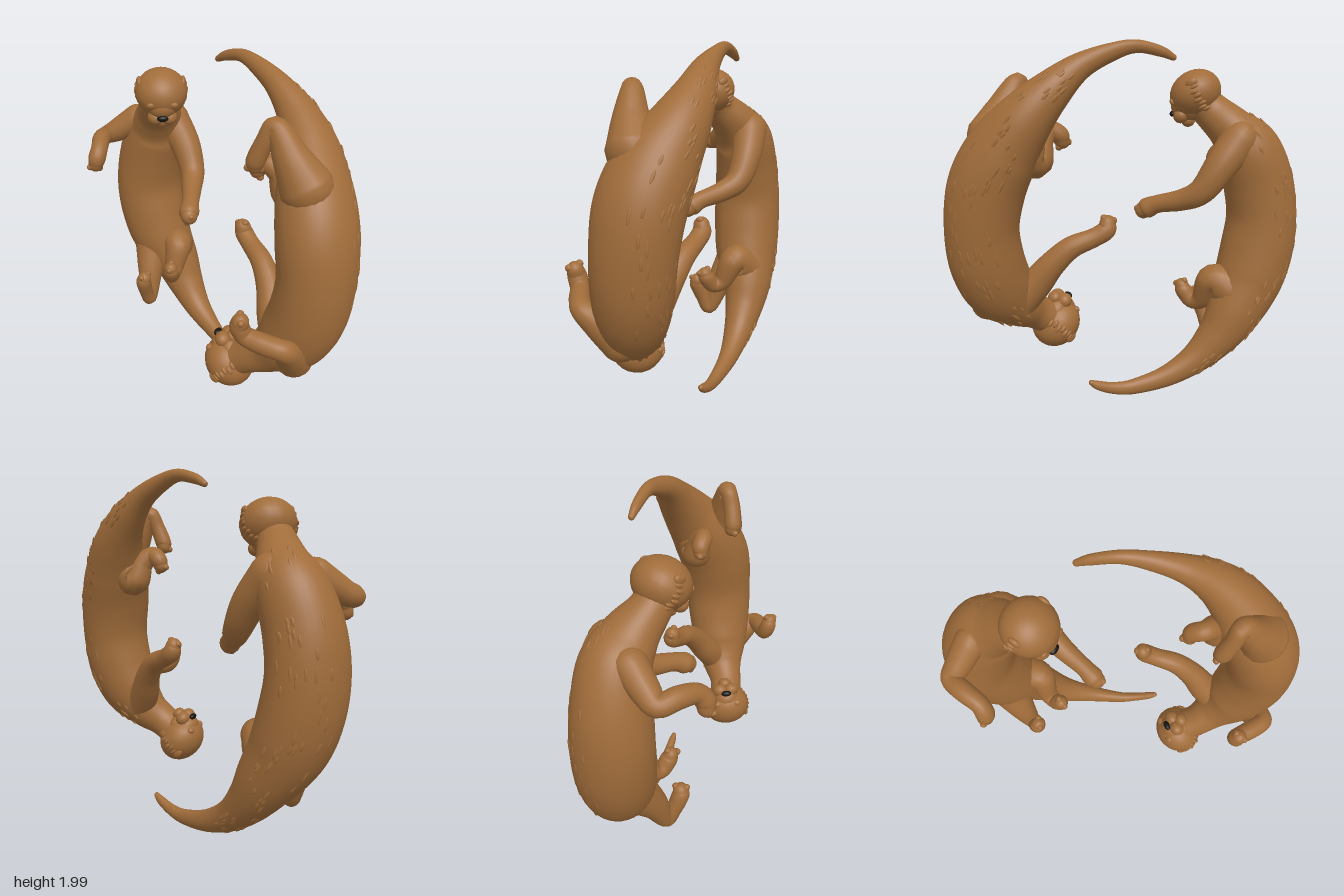
import * as THREE from 'three';

const V = (x, y, z) => new THREE.Vector3(x, y, z);
const fur = new THREE.MeshStandardMaterial({ color: 0xa06c3a });
fur.name = 'brownFur';
const dark = new THREE.MeshStandardMaterial({ color: 0x17130f });
dark.name = 'darkNose';

// Point on the rim of a cross-section
function around(f, a) {
  return f.c.clone().addScaledVector(f.s, Math.cos(a) * f.a).addScaledVector(f.d, Math.sin(a) * f.b);
}

// Swept tube through stations [x, y, z, radius, depthRadius] with rounded ends
function sweep(stations, rings, sides) {
  const path = new THREE.CatmullRomCurve3(stations.map(s => V(s[0], s[1], s[2])), false, 'catmullrom', 0.5);
  const size = new THREE.CatmullRomCurve3(stations.map(s => V(s[3], s[4] ?? s[3], 0)), false, 'catmullrom', 0.5);
  const frames = [];
  let d = V(0, 0, 1);
  for (let i = 0; i <= rings; i++) {
    const t = path.getTangent(i / rings), r = size.getPoint(i / rings);
    const s = d.clone().cross(t).normalize();
    d = t.clone().cross(s);
    frames.push({ c: path.getPoint(i / rings), t, s, d, a: r.x, b: r.y });
  }
  const caps = 5, loops = [];
  const cap = (f, dir) => k => {
    const q = (k / caps) * Math.PI / 2, w = Math.max(Math.cos(q), 0.001);
    return { ...f, c: f.c.clone().addScaledVector(f.t, dir * Math.sin(q) * Math.min(f.a, f.b)), a: f.a * w, b: f.b * w };
  };
  const start = cap(frames[0], -1), end = cap(frames[rings], 1);
  for (let k = caps; k > 0; k--) loops.push(start(k));
  loops.push(...frames);
  for (let k = 1; k <= caps; k++) loops.push(end(k));

  const pos = [], idx = [];
  loops.forEach((f, i) => {
    for (let j = 0; j < sides; j++) {
      const p = around(f, (j / sides) * Math.PI * 2);
      pos.push(p.x, p.y, p.z);
      if (i === loops.length - 1) continue;
      const k = i * sides + j, n = i * sides + (j + 1) % sides;
      idx.push(k, n, k + sides, n, n + sides, k + sides);
    }
  });
  const g = new THREE.BufferGeometry();
  g.setAttribute('position', new THREE.Float32BufferAttribute(pos, 3));
  g.setIndex(idx);
  g.computeVertexNormals();
  return { g, frames };
}

// Ellipsoids: a fine ball for the face, a light one for toes and tufts
const ball = new THREE.SphereGeometry(1, 24, 16);
const smallBall = new THREE.SphereGeometry(1, 10, 7);
function blob(parent, name, p, s, geometry = ball, mat = fur) {
  const m = new THREE.Mesh(geometry, mat);
  m.name = name;
  m.position.set(...p);
  m.scale.set(...s);
  parent.add(m);
  return m;
}

// Limb with four soft toes at its end
function limb(parent, name, stations) {
  const group = new THREE.Group();
  group.name = name;
  const { g, frames } = sweep(stations, 36, 18);
  const leg = new THREE.Mesh(g, fur);
  leg.name = name + 'Skin';
  group.add(leg);
  const f = frames[36];
  for (let i = 0; i < 4; i++) {
    const p = f.c.clone().addScaledVector(f.s, (i - 1.5) * 0.02).addScaledVector(f.t, f.a * 0.5);
    blob(group, 'toe', p.toArray(), [0.019, 0.019, 0.021], smallBall);
  }
  parent.add(group);
}

// Head built facing +z, then turned by its face and crown directions
function makeHead(center, face, crown) {
  const h = new THREE.Group();
  h.name = 'head';
  blob(h, 'skull', [0, 0.005, -0.005], [0.15, 0.128, 0.15]);
  blob(h, 'bridge', [0, -0.02, 0.075], [0.085, 0.075, 0.085]);
  blob(h, 'jaw', [0, -0.07, 0.05], [0.085, 0.06, 0.08]);
  blob(h, 'chin', [0, -0.112, 0.105], [0.042, 0.036, 0.04]);
  blob(h, 'nose', [0, -0.035, 0.165], [0.032, 0.018, 0.018], ball, dark);
  for (const side of [-1, 1]) {
    blob(h, 'muzzle', [side * 0.036, -0.068, 0.122], [0.048, 0.042, 0.046]);
    blob(h, 'eyelid', [side * 0.064, 0.022, 0.122], [0.026, 0.022, 0.016]);
    blob(h, 'ear', [side * 0.124, 0.062, -0.03], [0.017, 0.026, 0.036]);
    // cheek ruff
    for (let i = 0; i < 8; i++) {
      const a = -1.1 + i * 0.2;
      blob(h, 'cheekTuft', [side * 0.143 * Math.cos(a), 0.127 * Math.sin(a), -0.02 - 0.012 * (i % 2)], [0.013, 0.012, 0.026], smallBall);
    }
  }
  const z = V(...face).normalize();
  const x = V(...crown).cross(z).normalize();
  h.quaternion.setFromRotationMatrix(new THREE.Matrix4().makeBasis(x, z.clone().cross(x), z));
  h.position.set(...center);
  return h;
}

function otter(name, o) {
  const group = new THREE.Group();
  group.name = name;
  const { g, frames } = sweep(o.body, 110, 36);
  const body = new THREE.Mesh(g, fur);
  body.name = 'bodyAndTail';
  group.add(body);

  // low locks of fur lying along the back
  let seed = 7;
  const rnd = () => (seed = (seed * 16807) % 2147483647) / 2147483647;
  for (let i = 0; i < 70; i++) {
    const f = frames[16 + Math.floor(rnd() * 62)];
    const p = around(f, -2.35 + (rnd() - 0.5) * 1.6);
    const out = p.clone().sub(f.c).normalize();
    p.addScaledVector(out, -0.002);
    const lock = blob(group, 'furLock', p.toArray(), [0.009, 0.005, 0.025 + rnd() * 0.02], smallBall);
    const x = out.clone().cross(f.t).normalize();
    lock.quaternion.setFromRotationMatrix(new THREE.Matrix4().makeBasis(x, f.t.clone().cross(x), f.t));
  }

  group.add(makeHead(...o.head));
  for (const key in o.limbs) limb(group, key, o.limbs[key]);
  return group;
}

const climbing = {
  head: [[-0.425, 1.7, 0.005], [0.75, -0.5, 0.45], [0.43, 0.86, 0.24]],
  body: [[-0.45, 1.67, 0, 0.1], [-0.52, 1.6, -0.03, 0.108], [-0.61, 1.505, -0.09, 0.132, 0.145], [-0.7, 1.39, -0.13, 0.182, 0.18],
    [-0.775, 1.2, -0.13, 0.2], [-0.805, 1, -0.13, 0.2, 0.215], [-0.78, 0.8, -0.14, 0.21, 0.215], [-0.72, 0.62, -0.16, 0.2],
    [-0.62, 0.45, -0.2, 0.165, 0.155], [-0.52, 0.31, -0.21, 0.125, 0.12], [-0.38, 0.18, -0.21, 0.088, 0.085],
    [-0.2, 0.09, -0.21, 0.062, 0.055], [0, 0.046, -0.2, 0.044, 0.036], [0.12, 0.055, -0.2, 0.034, 0.028],
    [0.21, 0.085, -0.2, 0.026, 0.024], [0.25, 0.108, -0.2, 0.016]],
  limbs: {
    nearForeleg: [[-0.76, 1.46, -0.03, 0.085], [-0.83, 1.385, 0.07, 0.072], [-0.87, 1.35, 0.14, 0.055], [-0.8, 1.36, 0.21, 0.055],
      [-0.72, 1.34, 0.27, 0.05], [-0.695, 1.29, 0.305, 0.052], [-0.7, 1.25, 0.315, 0.045]],
    farForeleg: [[-0.62, 1.46, -0.19, 0.11], [-0.5, 1.32, -0.21, 0.092], [-0.4, 1.18, -0.19, 0.075], [-0.31, 1.12, -0.12, 0.062],
      [-0.2, 1.085, -0.03, 0.052], [-0.15, 1.055, 0.015, 0.06], [-0.13, 1.04, 0.03, 0.05]],
    nearHindLeg: [[-0.7, 0.56, -0.07, 0.12], [-0.635, 0.42, 0, 0.083], [-0.577, 0.255, 0.05, 0.048], [-0.555, 0.33, 0.09, 0.046],
      [-0.53, 0.42, 0.12, 0.05], [-0.52, 0.455, 0.12, 0.044]],
    farHindLeg: [[-0.6, 0.58, -0.18, 0.13], [-0.5, 0.63, -0.14, 0.09], [-0.465, 0.5, -0.08, 0.062], [-0.42, 0.475, -0.03, 0.05],
      [-0.38, 0.53, 0, 0.05], [-0.37, 0.56, 0.01, 0.042]],
  },
};

const diving = {
  head: [[0.385, 0.375, 0.125], [-0.64, 0.74, 0.2], [-0.6, -0.65, 0.3]],
  body: [[0.43, 0.41, 0.11, 0.1], [0.52, 0.47, 0.08, 0.102], [0.61, 0.54, 0.03, 0.13], [0.71, 0.655, -0.015, 0.185, 0.175],
    [0.78, 0.82, -0.05, 0.2], [0.805, 1.03, -0.07, 0.195, 0.21], [0.77, 1.25, -0.09, 0.2, 0.22], [0.69, 1.43, -0.135, 0.185, 0.205],
    [0.58, 1.6, -0.2, 0.145, 0.155], [0.45, 1.74, -0.23, 0.105, 0.11], [0.3, 1.86, -0.23, 0.068, 0.07],
    [0.13, 1.932, -0.23, 0.047, 0.04], [0, 1.96, -0.23, 0.034, 0.03], [-0.13, 1.935, -0.23, 0.028, 0.024], [-0.2, 1.905, -0.23, 0.017]],
  limbs: {
    nearForeleg: [[0.78, 0.575, 0.02, 0.1], [0.835, 0.68, 0.11, 0.078], [0.86, 0.745, 0.18, 0.056], [0.78, 0.765, 0.24, 0.055],
      [0.7, 0.785, 0.285, 0.05], [0.68, 0.84, 0.31, 0.05], [0.69, 0.88, 0.315, 0.044]],
    farForeleg: [[0.62, 0.57, -0.02, 0.1], [0.52, 0.69, -0.06, 0.088], [0.44, 0.8, -0.1, 0.073], [0.34, 0.895, -0.13, 0.062],
      [0.22, 0.945, -0.15, 0.053], [0.15, 0.985, -0.16, 0.053], [0.137, 1.025, -0.155, 0.045]],
    nearHindLeg: [[0.72, 1.51, -0.04, 0.135], [0.66, 1.63, 0, 0.095], [0.575, 1.775, 0.035, 0.053], [0.54, 1.7, 0.07, 0.046],
      [0.508, 1.61, 0.09, 0.048], [0.5, 1.58, 0.09, 0.042]],
    farHindLeg: [[0.6, 1.45, -0.15, 0.13], [0.515, 1.38, -0.13, 0.09], [0.48, 1.48, -0.1, 0.065], [0.43, 1.53, -0.06, 0.053],
      [0.375, 1.505, -0.06, 0.05], [0.36, 1.47, -0.055, 0.042]],
  },
};

export function createModel() {
  const model = new THREE.Group();
  model.name = 'circlingOtters';
  model.add(otter('climbingOtter', climbing), otter('divingOtter', diving));
  return model;
}
